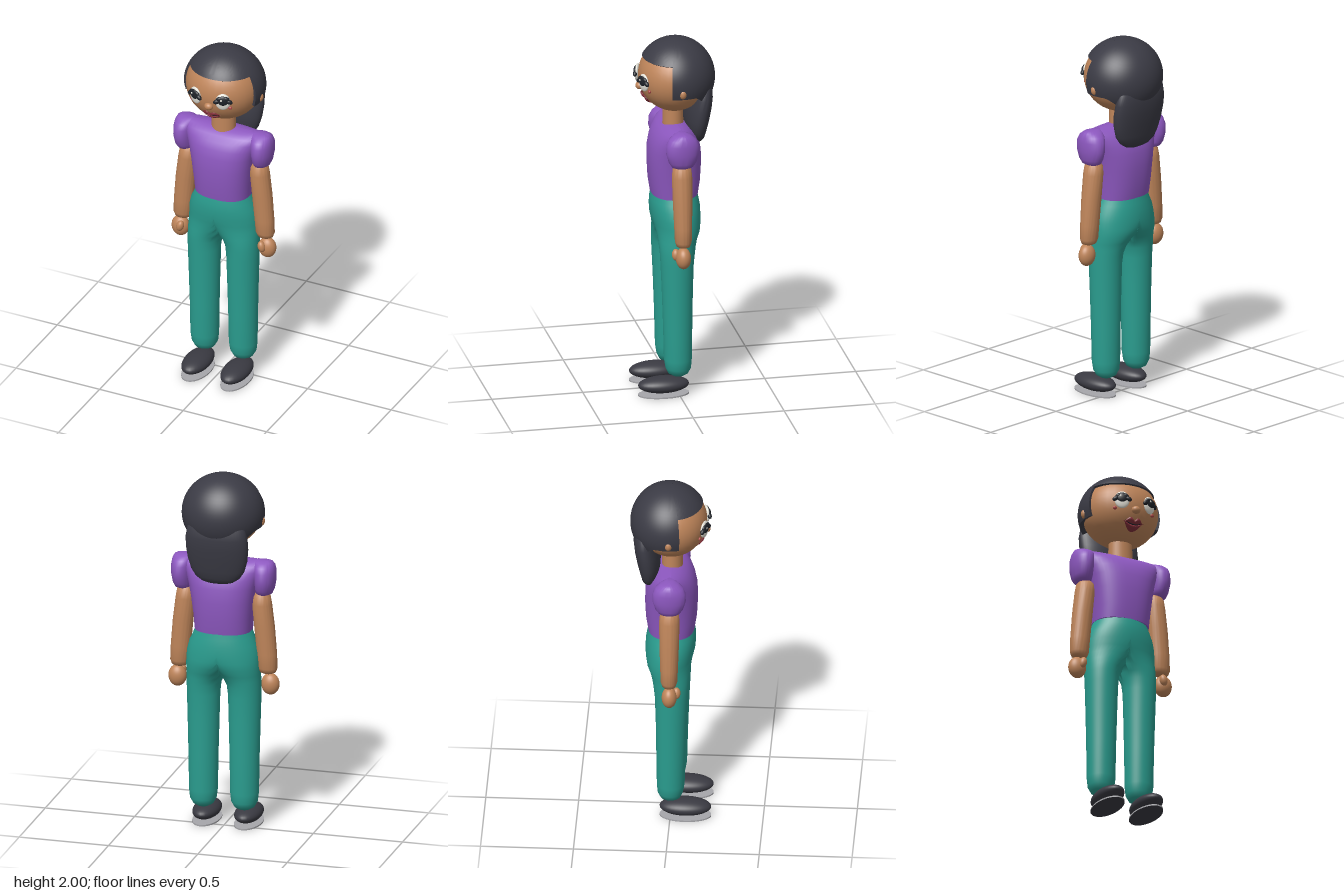
import * as THREE from 'three';
import { mergeGeometries, mergeVertices, toCreasedNormals } from 'three/addons/utils/BufferGeometryUtils.js';

const mat = (name, color, side = THREE.FrontSide) => {
  const m = new THREE.MeshStandardMaterial({ color, side });
  m.name = name;
  return m;
};

// Surface from a grid of points; fn(i, j) returns [x, y, z].
function grid(nu, nv, fn) {
  const pos = [], idx = [], w = nu + 1;
  for (let j = 0; j <= nv; j++) for (let i = 0; i <= nu; i++) pos.push(...fn(i, j));
  for (let j = 0; j < nv; j++) for (let i = 0; i < nu; i++) {
    const a = j * w + i, b = a + 1, c = a + w, d = c + 1;
    idx.push(a, c, b, b, c, d);
  }
  const g = new THREE.BufferGeometry();
  g.setAttribute('position', new THREE.Float32BufferAttribute(pos, 3));
  g.setIndex(idx);
  return g;
}

// Closed loft through horizontal sections [y, cx, rx, cz, rz], bottom to top.
function loft(sections, { s = 1, power = 2, clamp = false, capTop = true } = {}) {
  const first = sections[0], last = sections[sections.length - 1];
  const rows = [[first[0], first[1], 0, first[3], 0], ...sections];
  if (capTop) rows.push([last[0], last[1], 0, last[3], 0]);
  const n = 48, curve = (v) => Math.sign(v) * Math.abs(v) ** (2 / power);
  return grid(n, rows.length - 1, (i, j) => {
    const [y, cx, rx, cz, rz] = rows[j], a = (s * i * 2 * Math.PI) / n;
    let x = cx + rx * curve(Math.cos(a));
    if (clamp) x = Math.max(0, x);
    return [s * x, y, cz + rz * curve(Math.sin(a))];
  });
}
const smooth = (g) => toCreasedNormals(g, 0.9);

// Patch lying on the face between two height curves over x = -w..w.
function facePatch(w, top, bottom, lift, bulge) {
  const nu = 32, nv = 8;
  return grid(nu, nv, (i, j) => {
    const u = (i / nu) * 2 - 1, v = j / nv, x = u * w;
    const y = THREE.MathUtils.lerp(top(u), bottom(u), v);
    const z = 0.192 * Math.sqrt(1 - (x / 0.21) ** 2 - ((y - 1.79) / 0.195) ** 2);
    return [x, y, z + lift + bulge * Math.sin(Math.PI * v) * (1 - u * u)];
  });
}

export function createModel() {
  const skin = mat('skin', 0xbf855a), hair = mat('hair', 0x3b3b45), shirt = mat('shirt', 0x8d58c0);
  const teal = mat('trousers', 0x2a9d8f), shoeMat = mat('shoe', 0x3a3a42), soleMat = mat('sole', 0xa6a6aa);
  const lip = mat('lips', 0x84303a, THREE.DoubleSide), blush = mat('blush', 0xb04a48);
  const white = mat('eyeWhite', 0xe4e2d8), black = mat('eyeBlack', 0x20242a);
  const model = new THREE.Group();
  const add = (name, geo, m, parent = model) => {
    const mesh = new THREE.Mesh(geo, m);
    mesh.name = name;
    parent.add(mesh);
    return mesh;
  };
  const ball = (name, m, p, r, parent = model, tilt = 0) => {
    const mesh = add(name, new THREE.SphereGeometry(1, 32, 24), m, parent);
    mesh.position.set(...p);
    mesh.scale.set(...r);
    mesh.rotation.z = tilt;
    return mesh;
  };

  // Trousers: two mirrored halves welded down the middle
  const legRows = [
    [0.105, 0.115, 0.03, 0, 0.03], [0.12, 0.115, 0.055, 0, 0.055], [0.15, 0.115, 0.072, 0, 0.069],
    [0.2, 0.115, 0.078, 0.002, 0.075], [0.4, 0.115, 0.081, 0.003, 0.079], [0.6, 0.115, 0.086, 0.005, 0.084],
    [0.75, 0.115, 0.09, 0.006, 0.09], [0.81, 0.112, 0.094, 0.004, 0.095], [0.845, 0.1025, 0.1025, 0.002, 0.099],
    [0.88, 0.085, 0.12, -0.002, 0.105], [0.92, 0.055, 0.15, -0.01, 0.117], [0.96, 0.02, 0.183, -0.01, 0.127],
    [1, 0, 0.2, -0.006, 0.134], [1.05, 0, 0.187, -0.003, 0.135], [1.09, 0, 0.168, 0, 0.131], [1.13, 0, 0.152, 0, 0.124],
  ];
  const halves = [1, -1].map((s) => loft(legRows, { s, clamp: true, capTop: false }));
  const trousers = mergeVertices(mergeGeometries(halves), 1e-4);
  trousers.computeVertexNormals();
  add('trousers', trousers, teal);

  // Shirt body
  add('shirtBody', smooth(loft([
    [1.122, 0, 0.156, 0, 0.125], [1.2, 0, 0.162, 0, 0.137], [1.3, 0, 0.175, 0, 0.142], [1.38, 0, 0.19, 0, 0.139],
    [1.43, 0, 0.205, 0, 0.127], [1.47, 0, 0.22, 0, 0.108], [1.5, 0, 0.235, 0, 0.082], [1.52, 0, 0.245, 0, 0.05],
    [1.528, 0, 0.245, 0, 0.02],
  ], { power: 2.4 })), shirt);

  for (const s of [1, -1]) {
    const side = s > 0 ? 'left' : 'right';
    // Puffed sleeve
    add(side + 'Sleeve', smooth(loft([
      [1.337, 0.225, 0.03, 0, 0.04], [1.345, 0.227, 0.044, 0, 0.058], [1.37, 0.23, 0.052, 0, 0.075],
      [1.42, 0.232, 0.058, 0, 0.09], [1.47, 0.23, 0.06, 0, 0.088], [1.5, 0.225, 0.06, 0, 0.073],
      [1.52, 0.22, 0.055, 0, 0.047], [1.529, 0.215, 0.045, 0, 0.02],
    ], { s })), shirt);
    // Arm, hand and thumb
    add(side + 'Arm', smooth(loft([
      [0.89, 0.247, 0.03, 0, 0.027], [0.896, 0.247, 0.043, 0, 0.037], [0.92, 0.246, 0.053, 0, 0.045],
      [1, 0.241, 0.055, 0, 0.048], [1.15, 0.228, 0.056, 0, 0.053], [1.28, 0.214, 0.054, 0, 0.055],
      [1.325, 0.211, 0.049, 0, 0.05], [1.345, 0.21, 0.035, 0, 0.035],
    ], { s })), skin);
    ball(side + 'Hand', skin, [s * 0.26, 0.828, 0.002], [0.05, 0.06, 0.041]);
    ball(side + 'Thumb', skin, [s * 0.244, 0.846, 0.04], [0.021, 0.032, 0.022], model, s * 0.25);
    // Shoe with a thin sole
    ball(side + 'Shoe', shoeMat, [s * 0.117, 0.058, 0.081], [0.073, 0.045, 0.139]);
    const sole = add(side + 'Sole', new THREE.CylinderGeometry(1, 1, 0.008, 40), [soleMat, soleMat, shoeMat]);
    sole.position.set(s * 0.117, 0.005, 0.081);
    sole.scale.set(0.074, 1, 0.139);
    sole.geometry.translate(0, -0.001, 0);
    // Ear
    ball(side + 'Ear', skin, [s * 0.205, 1.752, -0.006], [0.026, 0.03, 0.022]);
    // Eye: white, dark iris, lashes and glint on a disc turned with the face
    const eye = new THREE.Group();
    eye.name = side + 'Eye';
    eye.position.set(s * 0.082, 1.785, 0.182);
    eye.rotation.y = s * 0.4;
    model.add(eye);
    ball('eyeWhite', white, [0, 0.002, 0], [0.041, 0.049, 0.014], eye);
    ball('iris', black, [0, 0.012, 0.008], [0.03, 0.029, 0.012], eye);
    for (const [x, y, t] of [[-0.034, 0.006, 0.5], [0.034, 0.006, -0.5], [-0.018, 0.024, 0.4], [0.018, 0.024, -0.4]])
      ball('lash', black, [x, y, 0.006], [0.02, 0.013, 0.012], eye, t);
    ball('glint', white, [-0.009, 0.018, 0.018], [0.006, 0.006, 0.004], eye);
    ball(side + 'Blush', blush, [s * 0.112, 1.744, 0.157], [0.012, 0.01, 0.008]);
  }

  // Neck, head and nose
  const neck = add('neck', new THREE.CylinderGeometry(0.066, 0.068, 0.14, 32), skin);
  neck.position.set(0, 1.56, 0.005);
  neck.scale.z = 0.83;
  ball('head', skin, [0, 1.79, 0], [0.21, 0.195, 0.192]);
  ball('nose', skin, [0, 1.742, 0.188], [0.025, 0.021, 0.022]);

  // Lips with a bowed upper edge
  const seam = (u) => 1.668 + 0.014 * u * u;
  const bow = (u) => 1.682 + 0.02 * Math.sin(Math.PI * Math.min(1, Math.abs(u) * 1.2 + 0.05));
  add('upperLip', facePatch(0.063, (u) => Math.max(bow(u), seam(u)), seam, 0.004, 0.012), lip);
  add('lowerLip', facePatch(0.055, seam, (u) => 1.638 + 0.044 * u * u, 0.004, 0.013), lip);
  add('mouthLine', facePatch(0.05, (u) => seam(u) + 0.003, (u) => seam(u) - 0.002, 0.007, 0.002), black);

  // Hair cap: high hairline in front, lower edge at the sides and back
  const cols = [], edge = 0.305, steps = 44, rows = 22;
  for (let i = 0; i <= steps; i++) cols.push([THREE.MathUtils.lerp(edge, Math.PI - edge, i / steps), 1.9]);
  for (let i = 0; i <= steps; i++) {
    const a = THREE.MathUtils.lerp(Math.PI - edge, 2 * Math.PI + edge, i / steps);
    cols.push([a, 1.72 - 0.06 * THREE.MathUtils.smoothstep(-Math.sin(a), 0.3, 0.8)]);
  }
  cols.push(cols[0]);
  add('hairCap', smooth(grid(cols.length - 1, rows, (i, j) => {
    const [a, yb] = cols[i], k = j === 0 ? 0.88 : 1;
    const low = Math.asin((yb - 1.785) / 0.215);
    const p = THREE.MathUtils.lerp(low, Math.PI / 2, Math.max(0, j - 1) / (rows - 1));
    const r = k * Math.cos(p);
    return [0.225 * r * Math.cos(a), 1.785 + k * 0.215 * Math.sin(p), -0.01 + 0.212 * r * Math.sin(a)];
  })), hair);

  // Long hair hanging down the back
  add('longHair', smooth(loft([
    [1.415, 0, 0.05, -0.12, 0.012], [1.425, 0, 0.085, -0.12, 0.027], [1.45, 0, 0.122, -0.118, 0.043],
    [1.49, 0, 0.148, -0.116, 0.054], [1.55, 0, 0.165, -0.121, 0.063], [1.62, 0, 0.173, -0.13, 0.067],
    [1.68, 0, 0.172, -0.14, 0.063], [1.74, 0, 0.16, -0.145, 0.054], [1.79, 0, 0.12, -0.145, 0.035],
  ], { power: 2.2 })), hair);

  return model;
}
